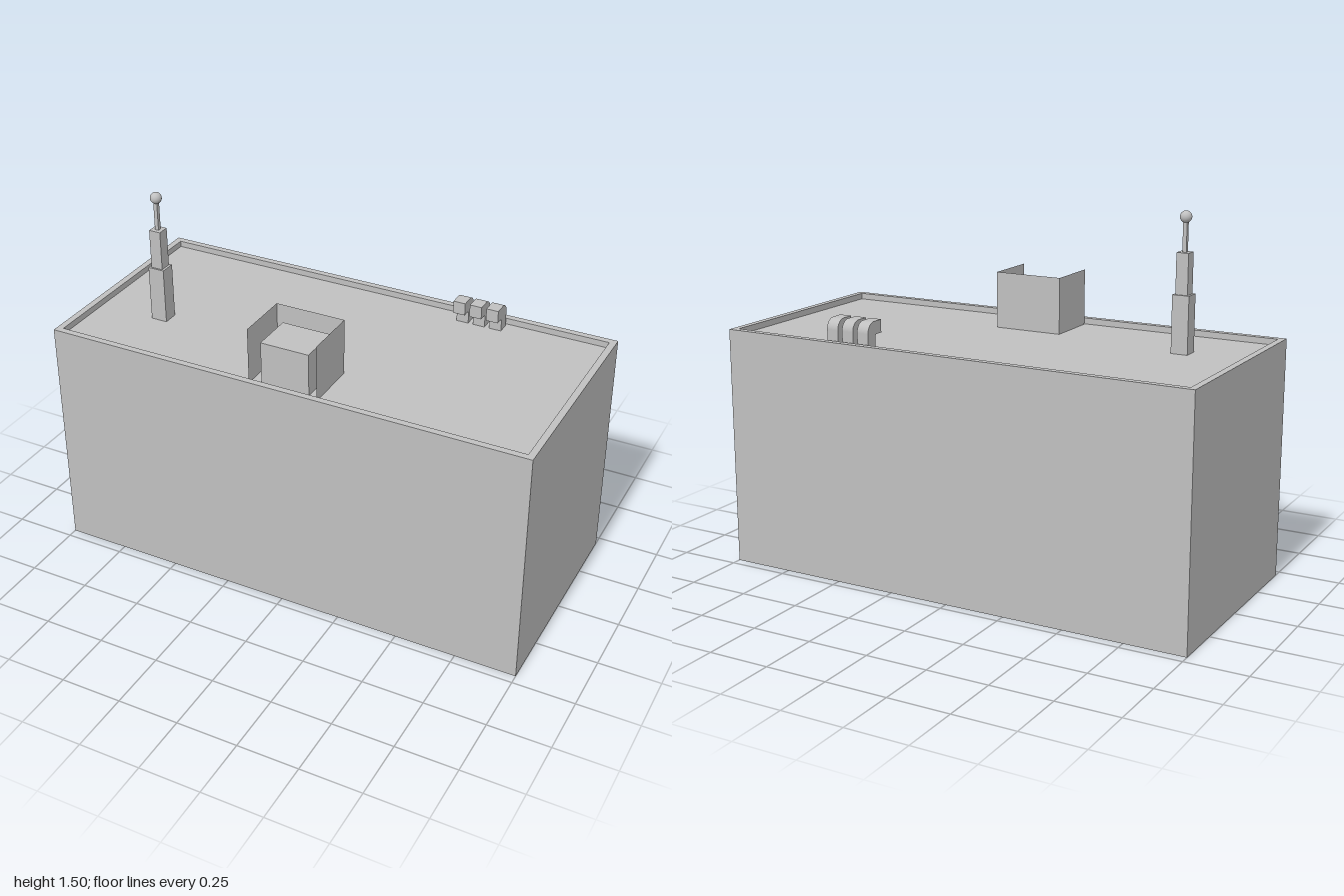
import * as THREE from 'three';

export function createModel() {
  const model = new THREE.Group();
  const grey = new THREE.MeshStandardMaterial({ color: 0xc0c0c0 });
  const greySheet = new THREE.MeshStandardMaterial({ color: 0xc0c0c0, side: THREE.DoubleSide });
  grey.name = 'concrete grey';
  greySheet.name = 'concrete grey sheet';

  const add = (name, geometry, x, y, z, parent = model, material = grey) => {
    const mesh = new THREE.Mesh(geometry, material);
    mesh.name = name;
    mesh.position.set(x, y, z);
    parent.add(mesh);
    return mesh;
  };
  // Box standing on yBottom and reaching yTop
  const block = (name, w, d, yBottom, yTop, x, z, parent) =>
    add(name, new THREE.BoxGeometry(w, yTop - yBottom, d), x, (yBottom + yTop) / 2, z, parent);
  const group = (name) => {
    const g = new THREE.Group();
    g.name = name;
    model.add(g);
    return g;
  };
  const rectangle = (Type, hx, hz) => new Type([
    new THREE.Vector2(-hx, -hz), new THREE.Vector2(hx, -hz),
    new THREE.Vector2(hx, hz), new THREE.Vector2(-hx, hz),
  ]);

  const roof = 0.953, rim = 0.978, halfX = 1, halfZ = 0.461, lip = 0.027;

  // Building body: outer walls and parapet as one ring, with roof and floor inside
  const ring = rectangle(THREE.Shape, halfX, halfZ);
  ring.holes.push(rectangle(THREE.Path, halfX - lip, halfZ - lip));
  const walls = new THREE.ExtrudeGeometry(ring, { depth: rim, bevelEnabled: false });
  walls.rotateX(-Math.PI / 2);
  add('wallsAndParapet', walls, 0, 0, 0);
  block('roofAndFloor', 2 * (halfX - lip), 2 * (halfZ - lip), 0, roof, 0, 0);

  // Stepped antenna mast with a ball on top
  const antenna = group('antenna');
  const ax = -0.7, az = 0.136;
  block('antennaBase', 0.068, 0.064, roof, 1.18, ax, az, antenna);
  block('antennaMiddle', 0.049, 0.049, 1.18, 1.34, ax, az, antenna);
  block('antennaPole', 0.016, 0.016, 1.34, 1.46, ax, az, antenna);
  add('antennaBall', new THREE.SphereGeometry(0.023, 24, 16), ax, 1.473, az, antenna);

  // Roof unit: solid box inside a thin three-sided screen, open to the front
  const unit = group('roofUnit');
  block('unitBox', 0.2, 0.173, roof, 1.127, 0.003, 0.32, unit);
  const screenH = 1.182 - roof, screenY = (1.182 + roof) / 2;
  add('screenBack', new THREE.PlaneGeometry(0.285, screenH), 0.002, screenY, 0.2, unit, greySheet)
    .rotation.y = Math.PI;
  for (const side of [-1, 1]) {
    add(side > 0 ? 'screenLeft' : 'screenRight', new THREE.PlaneGeometry(0.226, screenH),
      0.002 + side * 0.1425, screenY, 0.313, unit, greySheet).rotation.y = side * Math.PI / 2;
  }

  // Bent vent ducts: square profile, rounded at the back, outlet facing forward
  const back = -0.42, front = -0.329, top = 1.06, radius = 0.042;
  const elbow = new THREE.Shape();
  elbow.moveTo(-back, roof);
  elbow.lineTo(-back, top - radius);
  elbow.absarc(-back - radius, top - radius, radius, 0, Math.PI / 2, false);
  elbow.lineTo(-front, top);
  elbow.lineTo(-front, 1.008);
  elbow.lineTo(0.364, 1.008);
  elbow.lineTo(0.37, 1.002);
  elbow.lineTo(0.37, roof);
  const duct = new THREE.ExtrudeGeometry(elbow, { depth: 0.05, bevelEnabled: false, curveSegments: 8 });
  duct.rotateY(Math.PI / 2); // profile x becomes -z, depth becomes +x
  const vents = group('ventDucts');
  for (let i = 0; i < 3; i++) add('ventDuct' + (i + 1), duct, 0.36 + i * 0.07, 0, 0, vents);

  return model;
}
